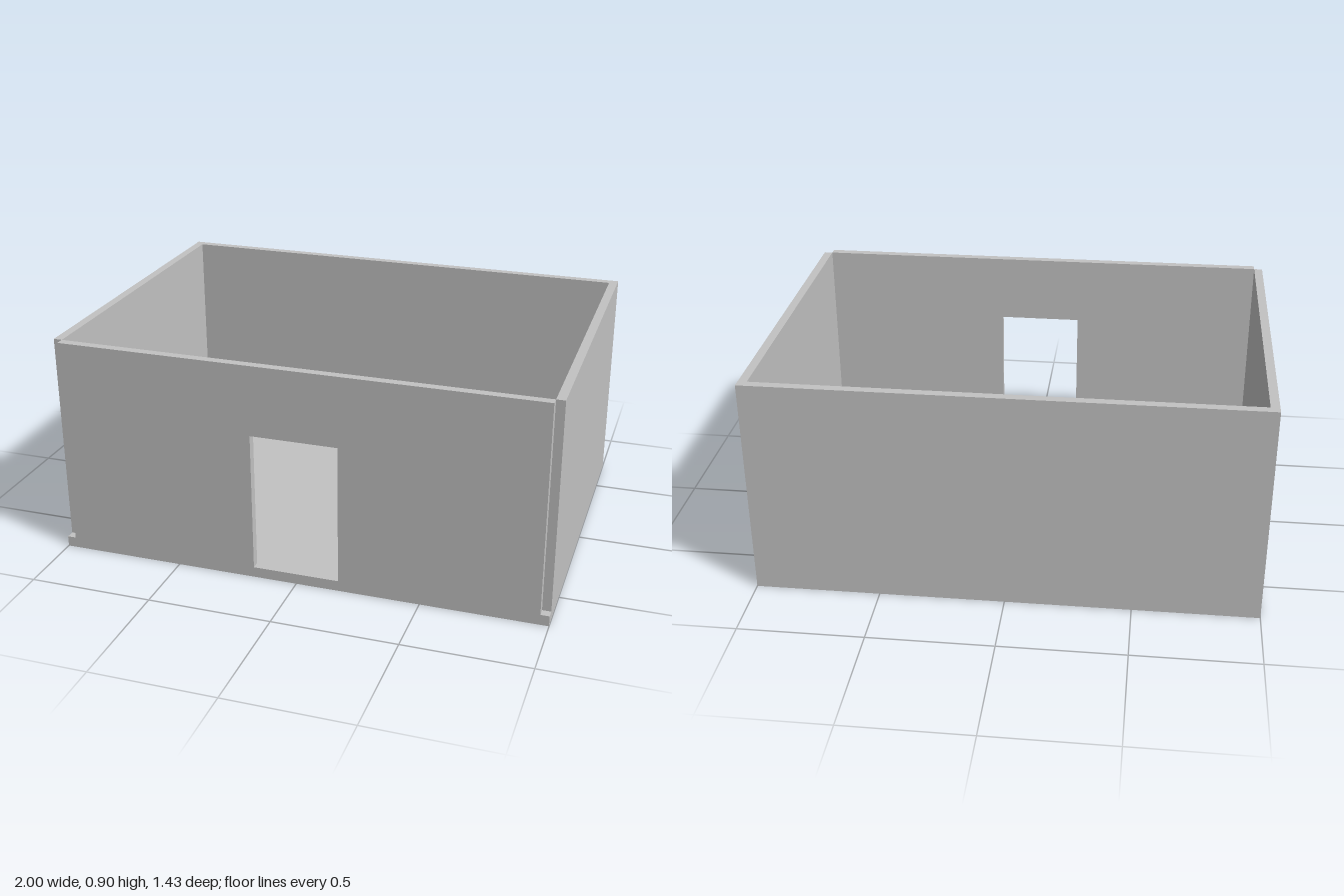
import * as THREE from 'three';

const W = 1, D = 0.714, H = 0.9; // half width, half depth, height
const T = 0.035, FLOOR = 0.043;  // wall and floor thickness

export function createModel() {
  const model = new THREE.Group();
  model.name = 'openRoom';
  const grey = new THREE.MeshStandardMaterial({ color: 0xc2c2c2 });
  grey.name = 'light grey';

  const box = (name, x0, x1, y0, y1, z0, z1) => {
    const mesh = new THREE.Mesh(new THREE.BoxGeometry(x1 - x0, y1 - y0, z1 - z0), grey);
    mesh.position.set((x0 + x1) / 2, (y0 + y1) / 2, (z0 + z1) / 2);
    mesh.name = name;
    model.add(mesh);
  };

  // Floor slab and the three solid walls; side walls stop short of the front corners
  box('floor', -W, W, 0, FLOOR, -D, D);
  box('backWall', -W, W, FLOOR, H, -D, -D + T);
  box('leftWall', W - T, W, FLOOR, H, -D + T, D - T);
  box('rightWall', -W, -W + T, FLOOR, H, -D + T, D - T);

  // Front wall between the corner notches, with a doorway down to the floor
  const x = W - T, doorL = -0.177, doorR = 0.173, doorTop = 0.614;
  const outline = new THREE.Shape([
    [-x, FLOOR], [doorL, FLOOR], [doorL, doorTop], [doorR, doorTop],
    [doorR, FLOOR], [x, FLOOR], [x, H], [-x, H],
  ].map(([px, py]) => new THREE.Vector2(px, py)));
  const front = new THREE.Mesh(
    new THREE.ExtrudeGeometry(outline, { depth: T, bevelEnabled: false }), grey);
  front.position.z = D - T;
  front.name = 'frontWall';
  model.add(front);

  return model;
}
